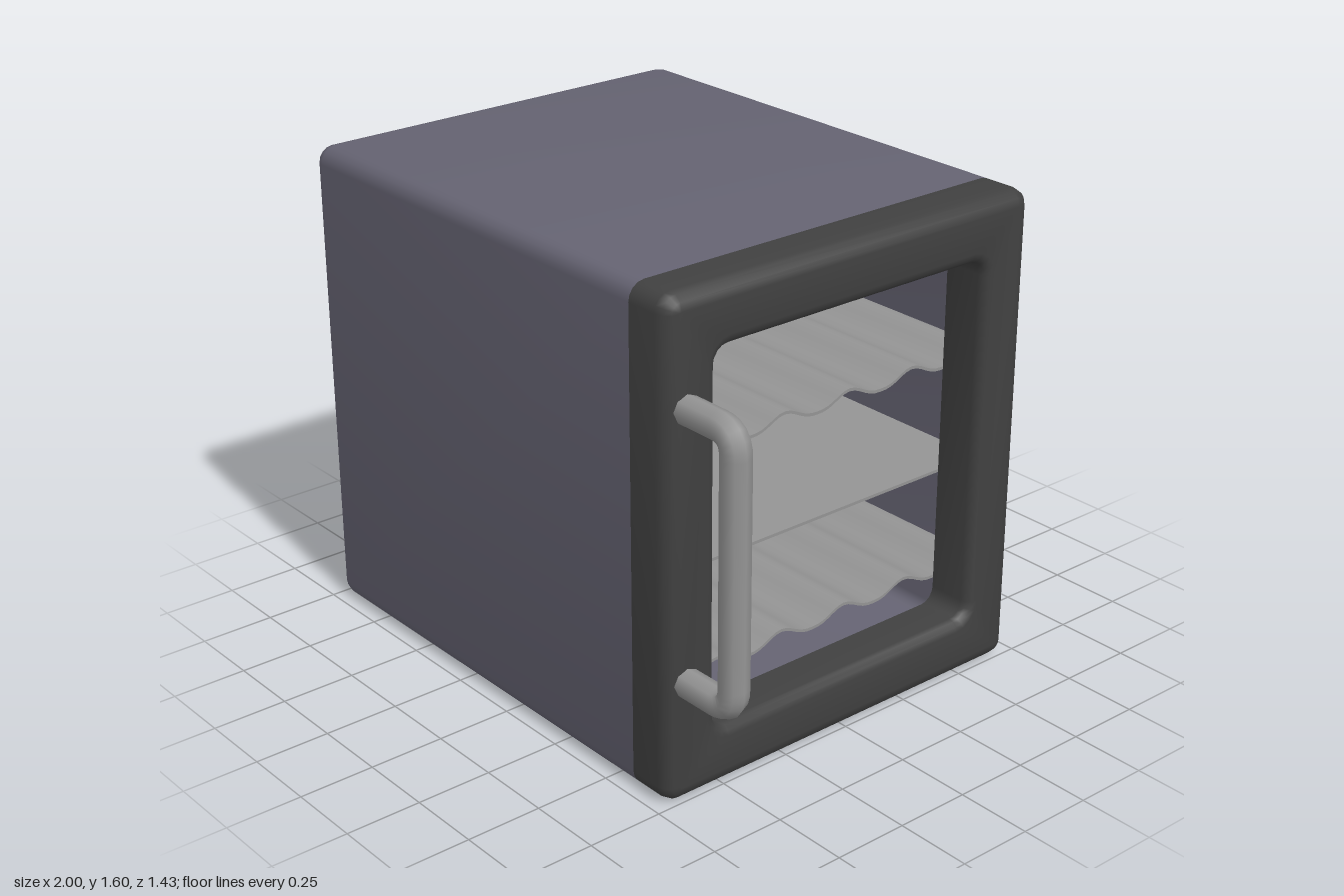
import * as THREE from 'three';
import { toCreasedNormals } from 'three/addons/utils/BufferGeometryUtils.js';

const MID_Y = 0.8, SEAM = 0.59, CREASE = 0.62;

// Rounded rectangle in the z-y plane, set at height x
function ring([x, hz, hy, r]) {
  const pts = [], steps = 4;
  [[1, 1], [-1, 1], [-1, -1], [1, -1]].forEach(([sz, sy], q) => {
    for (let i = 0; i <= steps; i++) {
      const a = (q + i / steps) * Math.PI / 2;
      pts.push([x, MID_Y + sy * (hy - r) + r * Math.sin(a), sz * (hz - r) + r * Math.cos(a)]);
    }
  });
  return pts;
}

// Skin joining a series of rounded rectangles
function loft(specs) {
  const rings = specs.map(ring), n = rings[0].length, index = [];
  for (let i = 0; i < rings.length - 1; i++) {
    for (let j = 0; j < n; j++) {
      const a = i * n + j, b = i * n + (j + 1) % n;
      index.push(a, b, a + n, b, b + n, a + n);
    }
  }
  const g = new THREE.BufferGeometry();
  g.setAttribute('position', new THREE.Float32BufferAttribute(rings.flat(2), 3));
  g.setIndex(index);
  return toCreasedNormals(g, CREASE);
}

// Quarter-round edge: steps from the flat end face (t = 0) to the side (t = 1)
function edge(x, dir, hz, hy, r, size, inward) {
  const out = [], steps = 3;
  for (let i = 0; i <= steps; i++) {
    const a = i / steps * Math.PI / 2;
    const inset = size * (1 - Math.sin(a)) * (inward ? -1 : 1);
    out.push([x - dir * size * (1 - Math.cos(a)), hz - inset, hy - inset, Math.max(r - inset, 0.004)]);
  }
  return out;
}

// Thin shelf with rounded ridges running from front to back
function shelfGeometry(height) {
  const half = 0.695, thick = 0.01, period = 0.2625, n = height ? 64 : 1;
  const top = [], bottom = [];
  for (let i = 0; i <= n; i++) {
    const z = -half + 2 * half * i / n;
    const y = height * Math.pow((1 - Math.cos(2 * Math.PI * z / period)) / 2, 1.4);
    top.push(new THREE.Vector2(z, y + thick));
    bottom.push(new THREE.Vector2(z, y));
  }
  const shape = new THREE.Shape([...bottom, ...top.reverse()]);
  const g = new THREE.ExtrudeGeometry(shape, { depth: SEAM + 0.97, bevelEnabled: false });
  g.rotateY(Math.PI / 2);
  g.translate(-0.97, 0, 0);
  return toCreasedNormals(g, CREASE);
}

export function createModel() {
  const model = new THREE.Group();
  const material = (name, color) => {
    const m = new THREE.MeshStandardMaterial({ color });
    m.name = name;
    return m;
  };
  const cabinetPaint = material('slateCabinet', 0x666473);
  const framePaint = material('charcoalFrame', 0x404040);
  const metal = material('greyMetal', 0x949494);
  const add = (name, geometry, mat) => {
    const mesh = new THREE.Mesh(geometry, mat);
    mesh.name = name;
    model.add(mesh);
    return mesh;
  };

  // Hollow cabinet, open towards the door
  const hz = 0.715, hy = 0.8, wall = 0.02, r = 0.055;
  const inner = [hz - wall, hy - wall, 0.04];
  add('cabinet', loft([
    [-0.975, 0, 0, 0],
    [-0.975, ...inner],
    [SEAM, ...inner],
    [SEAM, hz, hy, r],
    ...edge(-1, -1, hz, hy, r, 0.05, false).reverse(),
    [-1, 0, 0, 0],
  ]), cabinetPaint);

  // Door frame with rounded edges around the open window
  const wz = 0.53, wy = 0.607;
  add('doorFrame', loft([
    [SEAM, wz, wy, 0.05],
    ...edge(0.75, 1, wz, wy, 0.05, 0.035, true).reverse(),
    ...edge(0.75, 1, hz, hy, r, 0.05, false),
    [SEAM, hz, hy, r],
    [SEAM, wz, wy, 0.05],
  ]), framePaint);

  // Two ridged shelves with a flat one between
  [['lowerRidgedShelf', 0.275, 0.038], ['flatShelf', 0.652, 0], ['upperRidgedShelf', 1.005, 0.038]]
    .forEach(([name, y, height]) => {
      add(name, shelfGeometry(height), metal).position.y = y;
    });

  // Bar handle with bent ends
  const v = (x, y) => new THREE.Vector3(x, y, 0.64);
  const lowY = 0.4, highY = 1.26, barX = 0.952, bend = 0.07;
  const path = new THREE.CurvePath();
  path.add(new THREE.LineCurve3(v(0.72, lowY), v(barX - bend, lowY)));
  path.add(new THREE.QuadraticBezierCurve3(v(barX - bend, lowY), v(barX, lowY), v(barX, lowY + bend)));
  path.add(new THREE.LineCurve3(v(barX, lowY + bend), v(barX, highY - bend)));
  path.add(new THREE.QuadraticBezierCurve3(v(barX, highY - bend), v(barX, highY), v(barX - bend, highY)));
  path.add(new THREE.LineCurve3(v(barX - bend, highY), v(0.72, highY)));
  add('doorHandle', new THREE.TubeGeometry(path, 64, 0.046, 8, false), metal);

  return model;
}
